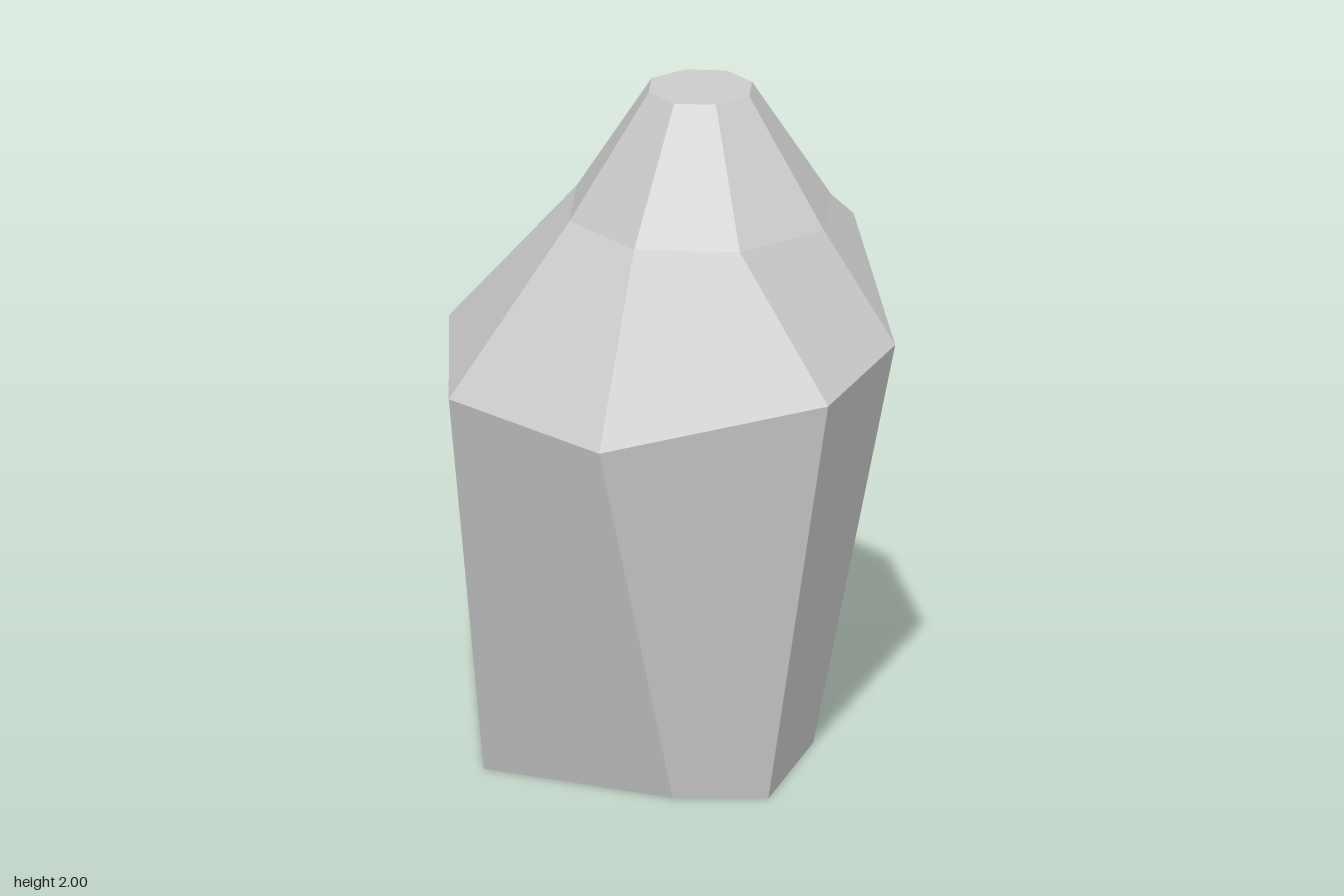
import * as THREE from 'three';

// Octagon ring around the neck axis, starting at the front and turning towards +x;
// its corners at 45 degrees stand a little further out
const AXIS = [0.166, -0.2];
const octagon = (radius, y) => Array.from({ length: 8 }, (_, i) => {
  const a = (i * Math.PI) / 4;
  const r = i % 2 ? radius * 1.026 : radius;
  return [AXIS[0] + r * Math.sin(a), y, AXIS[1] + r * Math.cos(a)];
});

// Skin through rings from bottom to top. Each quad has one flat normal, even where it is bent.
function loft(rings) {
  const positions = [], normals = [];
  const face = (corners) => {
    const v = corners.map((c) => new THREE.Vector3(...c));
    const normal = new THREE.Vector3();
    for (let i = 1; i < v.length - 1; i++) {
      const u = v[i].clone().sub(v[0]);
      normal.add(u.cross(v[i + 1].clone().sub(v[0])));
    }
    normal.normalize();
    for (let i = 1; i < v.length - 1; i++) {
      for (const p of [v[0], v[i], v[i + 1]]) {
        positions.push(p.x, p.y, p.z);
        normals.push(normal.x, normal.y, normal.z);
      }
    }
  };

  const n = rings[0].length;
  for (let r = 0; r < rings.length - 1; r++) {
    const low = rings[r], high = rings[r + 1];
    for (let i = 0; i < n; i++) {
      const j = (i + 1) % n;
      // The first corner sets the diagonal: the body folds the other way from the top
      if (r === 0) face([low[j], high[j], high[i], low[i]]);
      else face([low[i], low[j], high[j], high[i]]);
    }
  }
  // End caps
  face([...rings[0]].reverse());
  face(rings[rings.length - 1]);

  const g = new THREE.BufferGeometry();
  g.setAttribute('position', new THREE.Float32BufferAttribute(positions, 3));
  g.setAttribute('normal', new THREE.Float32BufferAttribute(normals, 3));
  return g;
}

export function createModel() {
  // Base: octagon with its front and right sides pulled outwards
  const base = octagon(0.37, 0);
  base[0] = [0.166, 0, 0.497];
  base[6] = [-0.566, 0, 0.005];
  base[7] = [-0.104, 0, 0.41];

  // Uneven shoulder ring, high at the back and low at the front
  const shoulder = [
    [0.32, 1.255, 0.6], [0.665, 1.255, 0.145], [0.64, 1.553, -0.2], [0.512, 1.553, -0.545],
    [0.166, 1.553, -0.675], [-0.475, 1.19, -0.655], [-0.67, 1.17, -0.01], [-0.41, 1.207, 0.67],
  ];

  const rock = new THREE.Mesh(
    loft([base, shoulder, octagon(0.405, 1.62), octagon(0.16, 2)]),
    new THREE.MeshStandardMaterial({ color: 0xcccccc }));
  rock.name = 'rockPillar';

  const group = new THREE.Group();
  group.name = 'rock';
  group.add(rock);
  return group;
}
